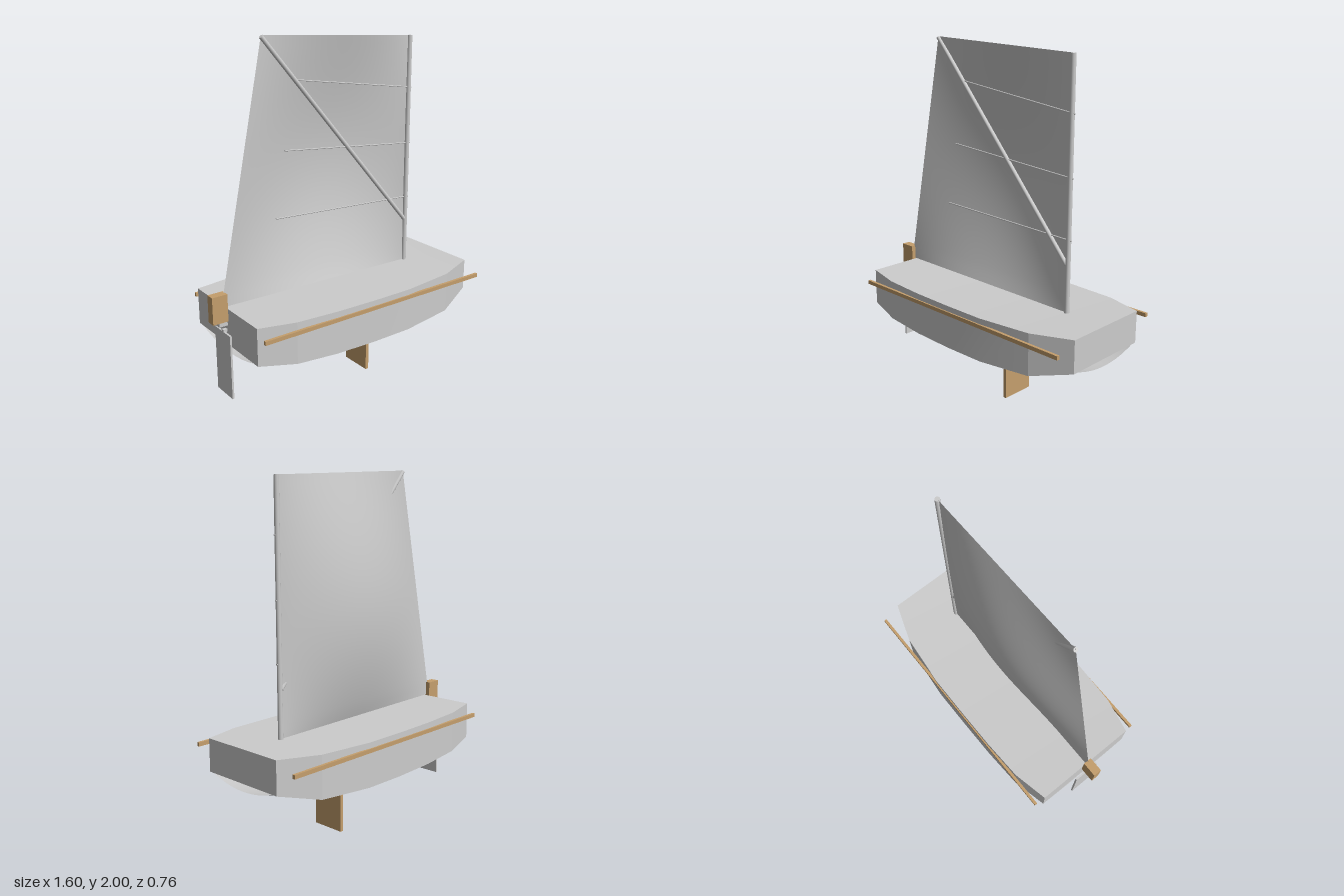
import * as THREE from 'three';
import { toCreasedNormals } from 'three/addons/utils/BufferGeometryUtils.js';

// Hull stations: x, half width, deck height, side bottom, keel height
const STATIONS = [
  [-0.71, 0.315, 0.61, 0.4, 0.357],
  [-0.5, 0.36, 0.603, 0.368, 0.354],
  [-0.25, 0.37, 0.597, 0.352, 0.351],
  [0, 0.371, 0.594, 0.346, 0.35],
  [0.25, 0.37, 0.594, 0.348, 0.352],
  [0.57, 0.34, 0.6, 0.366, 0.362],
  [0.8, 0.26, 0.61, 0.428, 0.386],
];

// Surface through rows of points; each row has the same count
function loft(rows, crease) {
  const pos = [];
  const quad = (a, b, c, d) => pos.push(...a, ...b, ...c, ...a, ...c, ...d);
  for (let i = 0; i < rows.length - 1; i++)
    for (let j = 0; j < rows[i].length - 1; j++)
      quad(rows[i][j], rows[i + 1][j], rows[i + 1][j + 1], rows[i][j + 1]);
  const geo = new THREE.BufferGeometry();
  geo.setAttribute('position', new THREE.Float32BufferAttribute(pos, 3));
  return toCreasedNormals(geo, crease);
}

export function createModel() {
  const model = new THREE.Group();
  model.name = 'sailingDinghy';
  const grey = new THREE.MeshStandardMaterial({ name: 'light grey', color: 0xcccccc, side: THREE.DoubleSide });
  const wood = new THREE.MeshStandardMaterial({ name: 'wood', color: 0xc59f6d });

  const add = (name, geo, mat) => {
    const mesh = new THREE.Mesh(geo, mat);
    mesh.name = name;
    model.add(mesh);
    return mesh;
  };
  const box = (name, mat, x0, x1, y0, y1, z0, z1) =>
    add(name, new THREE.BoxGeometry(x1 - x0, y1 - y0, z1 - z0), mat)
      .position.set((x0 + x1) / 2, (y0 + y1) / 2, (z0 + z1) / 2);
  const rod = (name, from, to, radius, sides = 12) => {
    const a = new THREE.Vector3(...from), b = new THREE.Vector3(...to);
    const dir = b.clone().sub(a);
    const mesh = add(name, new THREE.CylinderGeometry(radius, radius, dir.length(), sides), grey);
    mesh.position.copy(a).add(b).multiplyScalar(0.5);
    mesh.quaternion.setFromUnitVectors(new THREE.Vector3(0, 1, 0), dir.normalize());
  };

  // Deck and side planking
  add('deckAndSides', loft(STATIONS.map(([x, w, top, low]) =>
    [[x, low, w], [x, top, w], [x, top, -w], [x, low, -w]]), 0.15), grey);

  // End boards
  const first = STATIONS[0], last = STATIONS[STATIONS.length - 1];
  const endBoard = (name, [x, w, top, low], s) =>
    add(name, loft([[[x, low, s * w], [x, top, s * w]], [[x, low, -s * w], [x, top, -s * w]]], 0.1), grey);
  endBoard('sternBoard', first, -1);
  endBoard('bowBoard', last, 1);

  // Rounded bottom shell
  add('bottom', loft(STATIONS.map(([x, w, , low, keel]) => {
    const row = [];
    for (let j = 0; j <= 12; j++) {
      const t = 1 - j / 6;
      row.push([x, keel + (low + 0.008 - keel) * t * t, -t * w * 0.95]);
    }
    return row;
  }), 0.7), grey);

  // Rubbing rails
  for (const [name, z] of [['leftRail', 0.3705], ['rightRail', -0.3705]])
    box(name, wood, -0.7, 0.79, 0.54, 0.562, z - 0.008, z + 0.008);

  // Centreboard and rudder
  box('centreboard', wood, 0.165, 0.185, 0, 0.375, -0.098, 0.098);
  box('rudderHead', wood, -0.8, -0.71, 0.54, 0.695, -0.025, 0.025);
  box('rudderBlade', grey, -0.736, -0.725, 0.11, 0.48, -0.08, 0.08);
  box('rudderBracket', grey, -0.76, -0.71, 0.513, 0.535, -0.015, 0.015);
  box('rudderPin', grey, -0.735, -0.709, 0.475, 0.49, -0.01, 0.01);

  // Spars and battens
  rod('mast', [0.535, 0.58, 0], [0.535, 1.95, 0], 0.014);
  rod('sprit', [0.525, 0.865, 0], [-0.448, 1.992, 0], 0.012);
  rod('upperBatten', [0.555, 1.655, 0], [-0.24, 1.762, 0], 0.004, 6);
  rod('middleBatten', [0.555, 1.328, 0], [-0.32, 1.4, 0], 0.004, 6);
  rod('lowerBatten', [0.555, 1, 0], [-0.385, 1.037, 0], 0.004, 6);

  // Sail, pinned on all edges and filled toward -z
  const sail = [];
  const lerp = THREE.MathUtils.lerp;
  for (let i = 0; i <= 28; i++) {
    const v = i / 28, row = [];
    for (let j = 0; j <= 28; j++) {
      const u = j / 28;
      const belly = Math.sin(Math.PI * Math.pow(u, 0.9)) * Math.sin(Math.PI * Math.pow(v, 0.9));
      row.push([
        lerp(0.535, lerp(-0.735, -0.448, v), u),
        lerp(lerp(0.6, 0.615, u), lerp(1.95, 1.998, u), v),
        -0.112 * belly,
      ]);
    }
    sail.push(row);
  }
  add('sail', loft(sail, 1), grey);

  return model;
}
